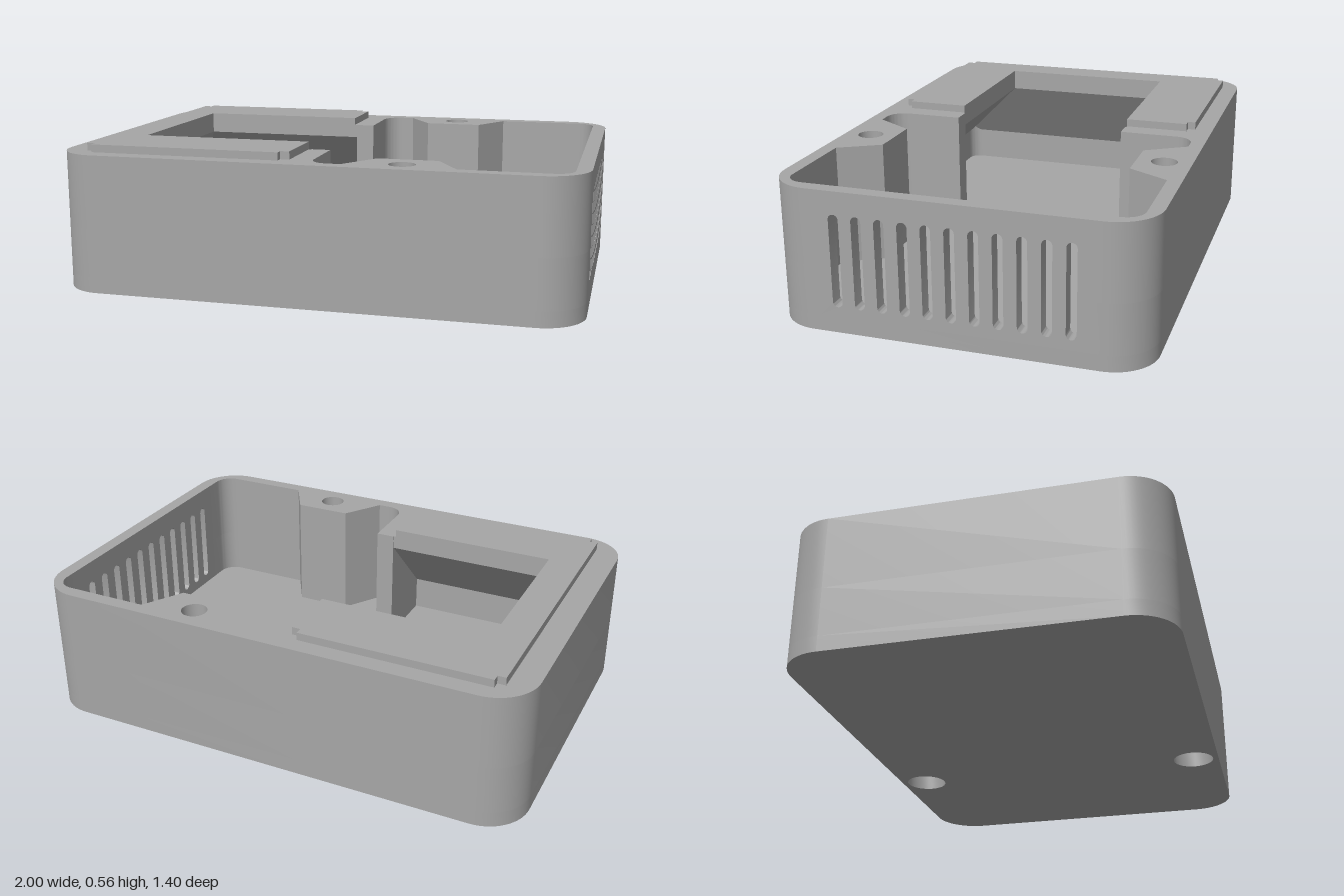
import * as THREE from 'three';
import { toCreasedNormals } from 'three/addons/utils/BufferGeometryUtils.js';

const H = 0.535, FLOOR = 0.06, BORE = 0.25; // rim height, floor top, screw-head bore top
const BOSS_X = 0.335, BOSS_Z = 0.595;

// Closed outline from [x, y, cornerRadius] points
function outline(points, Type = THREE.Shape) {
  const s = new Type();
  const n = points.length;
  points.forEach(([x, y, r = 0], i) => {
    const c = new THREE.Vector2(x, y);
    const toward = (p, d) => c.clone().add(new THREE.Vector2(p[0] - x, p[1] - y).setLength(d));
    const prev = points[(i + n - 1) % n], next = points[(i + 1) % n];
    const a = r ? toward(prev, r) : c, b = r ? toward(next, r) : c;
    if (i === 0) s.moveTo(a.x, a.y); else s.lineTo(a.x, a.y);
    if (r) {
      const c1 = toward(prev, r * 0.4477), c2 = toward(next, r * 0.4477);
      s.bezierCurveTo(c1.x, c1.y, c2.x, c2.y, b.x, b.y);
    }
  });
  s.closePath();
  return s;
}

// Points followed by their reflection across the x axis
const mirrored = (pts) => [...pts, ...pts.map(([x, y, r]) => [x, -y, r]).reverse()];

function addScrewHoles(shape, radius) {
  for (const side of [-1, 1]) {
    const hole = new THREE.Path();
    hole.absarc(BOSS_X, side * BOSS_Z, radius, 0, Math.PI * 2, true);
    shape.holes.push(hole);
  }
  return shape;
}

function extrude(shape, depth) {
  const g = new THREE.ExtrudeGeometry(shape, { depth, bevelEnabled: false, curveSegments: 14 });
  return toCreasedNormals(g, 0.5);
}

// Plan shape raised from y0 to y1
const slab = (shape, y0, y1) => extrude(shape, y1 - y0).rotateX(-Math.PI / 2).translate(0, y0, 0);

export function createModel() {
  const group = new THREE.Group();
  const grey = new THREE.MeshStandardMaterial({ color: 0xa6a6a6 });
  grey.name = 'casing grey';
  const add = (name, geometry) => {
    const mesh = new THREE.Mesh(geometry, grey);
    mesh.name = name;
    group.add(mesh);
  };

  // Floor with screw-head openings
  const base = outline([[1, -0.7, 0.17], [1, 0.7, 0.17], [-1, 0.7, 0.17], [-1, -0.7, 0.17]]);
  add('floor', slab(addScrewHoles(base, 0.083), 0, FLOOR));

  // Walls, bosses and partitions, left open where the vent panel sits
  const inner = [
    [-0.945, 0.645, 0.05], [-0.075, 0.645], [-0.075, 0.35], [0, 0.35], [0, 0.645, 0.07],
    [0.12, 0.645], [0.22, 0.49], [0.45, 0.49], [0.54, 0.645], [0.945, 0.645, 0.07], [0.945, 0.5],
  ];
  const outer = [[1, 0.5], [1, 0.7, 0.17], [-1, 0.7, 0.17]];
  const wallPoints = [
    ...mirrored(outer),
    ...inner.map(([x, y, r]) => [x, -y, r]).reverse(),
    ...inner,
  ];
  add('lowerWalls', slab(addScrewHoles(outline(wallPoints), 0.083), FLOOR, BORE));
  add('upperWalls', slab(addScrewHoles(outline(wallPoints), 0.05), BORE, H));

  // Vent panel with eleven upright slots
  const panel = outline([[-0.5, FLOOR], [0.5, FLOOR], [0.5, H], [-0.5, H]]);
  for (let i = -5; i <= 5; i++) {
    const z = i * 0.0858, r = 0.019;
    const slot = new THREE.Path();
    slot.absarc(z, 0.43, r, 0, Math.PI, false);
    slot.absarc(z, 0.118, r, Math.PI, Math.PI * 2, false);
    slot.closePath();
    panel.holes.push(slot);
  }
  add('ventPanel', extrude(panel, 0.055).rotateY(Math.PI / 2).translate(0.945, 0, 0));

  // U-shaped deck closing the cavity around the opening
  const LIP_X = -0.76, LIP_Z = 0.355, LIP_Y = 0.48;
  const deck = mirrored([[LIP_X, LIP_Z], [-0.075, LIP_Z], [-0.075, 0.645], [-0.945, 0.645]]);
  add('deck', slab(outline([...deck.slice(0, 4), ...deck.slice(4)]), LIP_Y, H));

  // Raised plate on the deck with notched corners
  const plate = mirrored([
    [LIP_X, LIP_Z], [-0.085, LIP_Z], [-0.085, 0.6], [-0.12, 0.6], [-0.12, 0.63],
    [-0.865, 0.63], [-0.865, 0.6], [-0.897, 0.6],
  ]);
  add('raisedPlate', slab(outline(plate), H, 0.565));

  // Sloping supports beneath the deck, running from lip to wall
  const stations = [
    [-0.075, LIP_Z, -0.075, 0.645], [LIP_X, LIP_Z, -0.945, 0.645],
    [LIP_X, -LIP_Z, -0.945, -0.645], [-0.075, -LIP_Z, -0.075, -0.645],
  ];
  const verts = [];
  for (let i = 0; i < 3; i++) {
    const [a, b] = [stations[i], stations[i + 1]];
    const lip = (s) => [s[0], LIP_Y, s[1]], wall = (s) => [s[2], 0.2, s[3]];
    verts.push(...lip(a), ...wall(a), ...lip(b), ...lip(b), ...wall(a), ...wall(b));
  }
  const slope = new THREE.BufferGeometry();
  slope.setAttribute('position', new THREE.Float32BufferAttribute(verts, 3));
  slope.computeVertexNormals();
  add('deckSupports', slope);

  return group;
}
